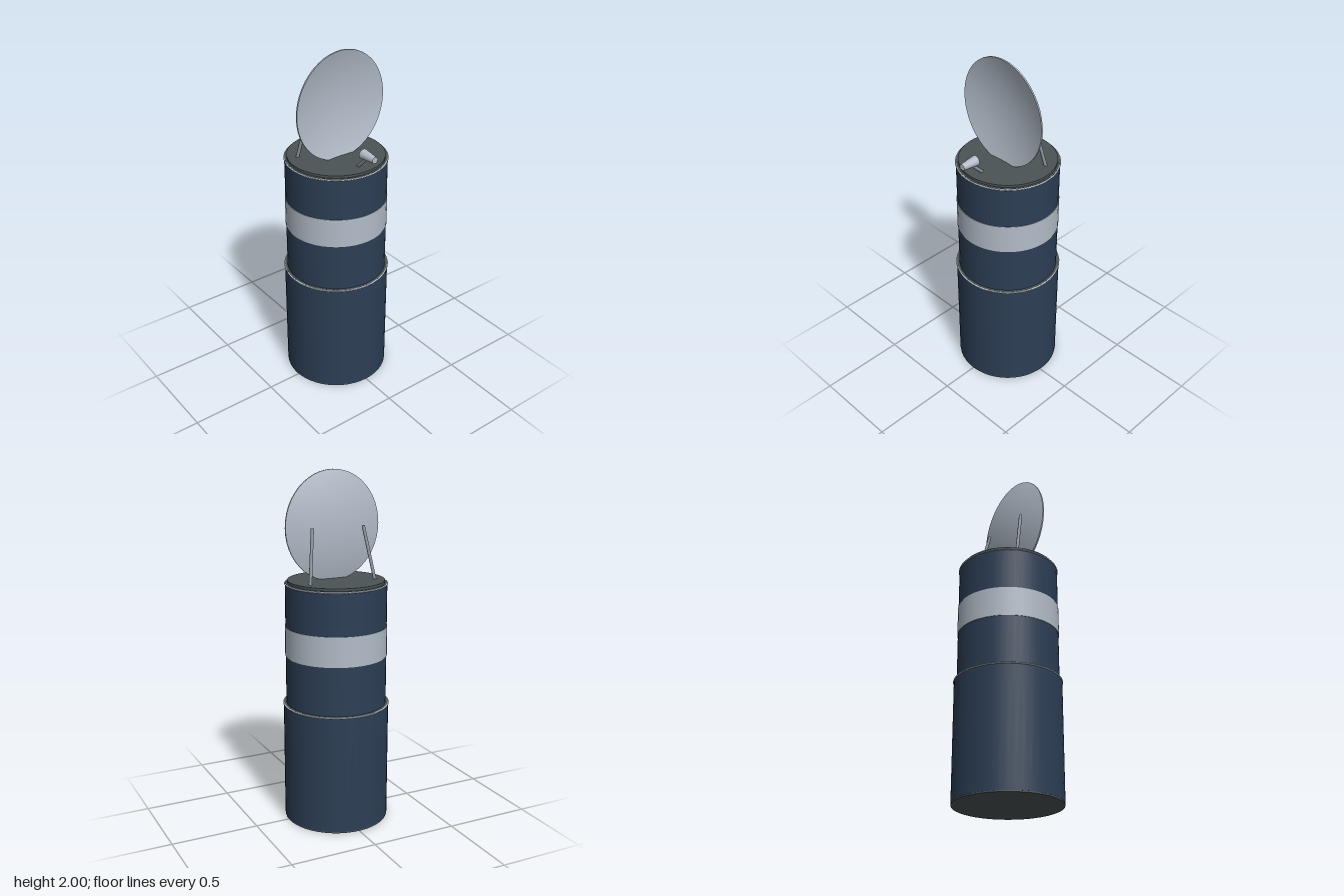
import * as THREE from 'three';

const mat = (name, color) => {
  const m = new THREE.MeshStandardMaterial({ color });
  m.name = name;
  return m;
};

export function createModel() {
  const root = new THREE.Group();
  root.name = 'dishTower';
  const navy = mat('navy', 0x2c3e55);
  const pale = mat('paleGrey', 0xb2bcc8);
  const dark = mat('darkGrey', 0x4b5355);
  const steel = mat('steelGrey', 0x8e97a1);
  const SEG = 48;
  const axisZ = -0.017;

  const add = (name, geo, material, parent = root) => {
    const mesh = new THREE.Mesh(geo, material);
    mesh.name = name;
    parent.add(mesh);
    return mesh;
  };

  // Upright drum around the tower axis, from y0 to y1
  const drum = (name, r, y0, y1, material) => {
    const geo = new THREE.CylinderGeometry(r, r, y1 - y0, SEG);
    add(name, geo, material).position.set(0, (y0 + y1) / 2, axisZ);
  };

  // Thin round rod between two points
  const rod = (name, a, b, r) => {
    const from = new THREE.Vector3(...a), to = new THREE.Vector3(...b);
    const mesh = add(name, new THREE.CylinderGeometry(r, r, from.distanceTo(to), 8), steel);
    mesh.position.copy(from).lerp(to, 0.5);
    mesh.quaternion.setFromUnitVectors(new THREE.Vector3(0, 1, 0), to.sub(from).normalize());
  };

  // Stepped tower body
  drum('basePlate', 0.299, 0, 0.012, dark);
  drum('lowerBody', 0.3, 0.008, 0.685, navy);
  drum('lowerLedge', 0.298, 0.68, 0.692, dark);
  drum('upperBody', 0.285, 0.685, 1.375, navy);
  drum('paleBand', 0.288, 0.97, 1.14, pale);
  drum('upperLedge', 0.283, 1.37, 1.386, dark);
  drum('topCap', 0.272, 1.38, 1.4, dark);

  // Pale trim rings on both shoulders
  for (const [name, r, y] of [['lowerTrim', 0.299, 0.687], ['upperTrim', 0.284, 1.38]]) {
    const ring = add(name, new THREE.TorusGeometry(r, 0.005, 8, SEG), pale);
    ring.rotation.x = Math.PI / 2;
    ring.position.set(0, y, axisZ);
  }

  // Shallow dish, slightly taller than wide, hollow side to the front
  const dish = new THREE.Group();
  dish.name = 'dish';
  dish.position.y = 1.693;
  dish.scale.y = 0.307 / 0.285;
  root.add(dish);
  const R = 0.285;
  const bowl = (z0, z1) => {
    const pts = [];
    for (let i = 0; i <= 12; i++) {
      const t = i / 12;
      pts.push(new THREE.Vector2(R * t, z0 + (z1 - z0) * t * t));
    }
    return pts;
  };
  const rim = [new THREE.Vector2(R, 0.021), new THREE.Vector2(R, 0.03)];
  const skins = [
    ['dishBack', bowl(-0.025, 0.021)],
    ['dishRim', rim],
    ['dishFront', bowl(-0.016, 0.03).reverse()],
  ];
  for (const [name, pts] of skins) {
    add(name, new THREE.LatheGeometry(pts, SEG).rotateX(Math.PI / 2), pale, dish);
  }

  // Rear struts
  for (const s of [-1, 1]) {
    rod(s > 0 ? 'leftStrut' : 'rightStrut', [s * 0.198, 1.395, -0.104], [s * 0.155, 1.693, -0.042], 0.0095);
  }

  // Feed arm and horn, wide end towards the dish
  rod('feedArm', [0, 1.395, 0.175], [0, 1.475, 0.255], 0.0095);
  const horn = add('feedHorn', new THREE.CylinderGeometry(0.018, 0.029, 0.098, 20), pale);
  horn.rotation.x = Math.PI / 2;
  horn.position.set(0, 1.488, 0.27);

  return root;
}
